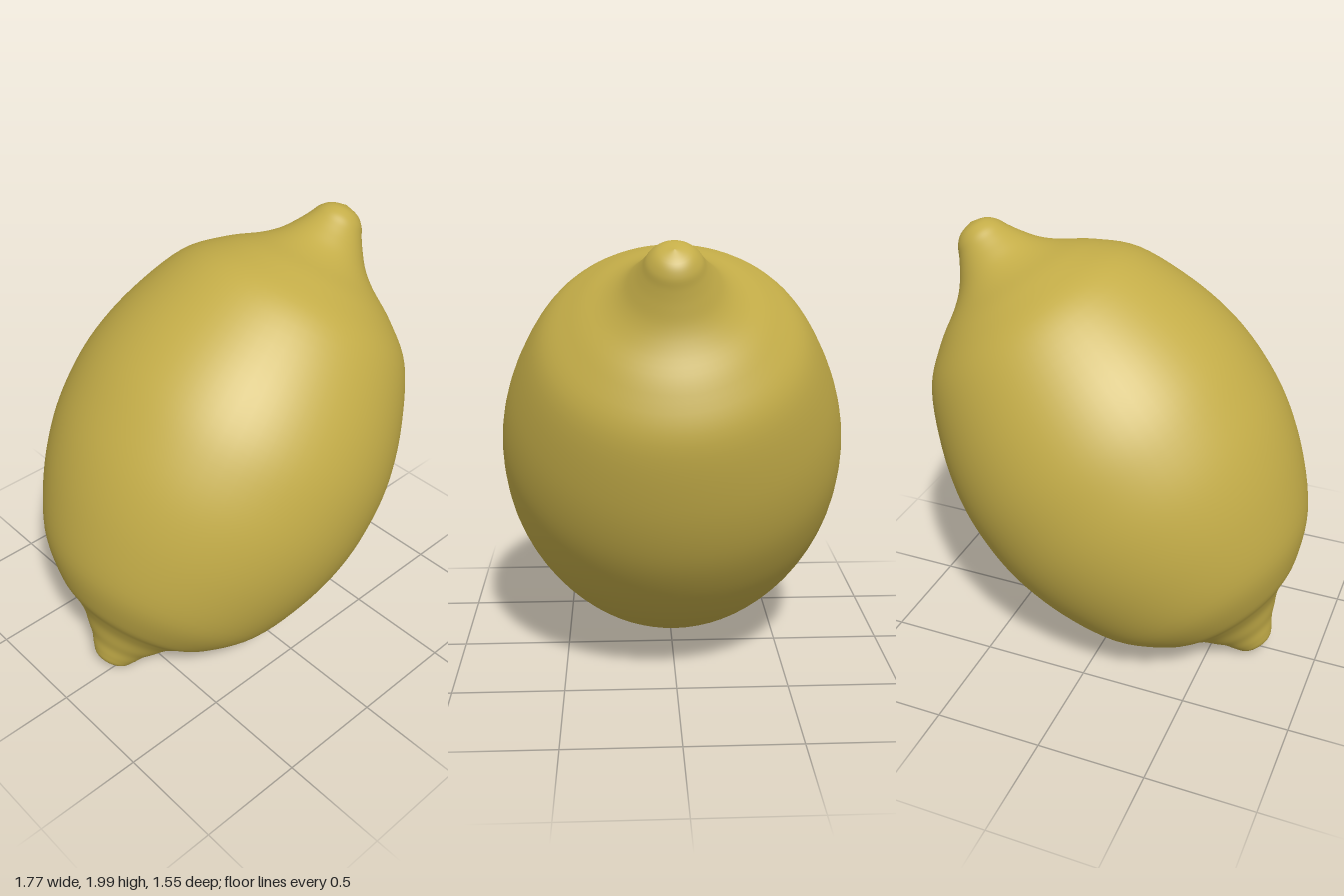
import * as THREE from 'three';

// Half-profiles as [radius, distance along the axis], from the tip inwards
const lowerEnd = [[0, -1.214], [0.075, -1.19], [0.11, -1.15], [0.143, -1.1], [0.185, -1.055], [0.24, -0.995], [0.315, -0.94], [0.425, -0.87], [0.575, -0.71], [0.69, -0.47], [0.757, -0.23]];
const upperEnd = [[0.757, 0.22], [0.688, 0.46], [0.568, 0.71], [0.42, 0.85], [0.285, 0.94], [0.215, 1.0], [0.165, 1.065], [0.13, 1.12], [0.105, 1.165], [0.065, 1.2], [0, 1.218]];

export function createModel() {
  const group = new THREE.Group();
  group.name = 'lemon';
  const peel = new THREE.MeshStandardMaterial({ name: 'lemon peel yellow', color: 0xc4ad48 });

  // Smooth turned fruit with a nub at both ends
  const outline = new THREE.SplineCurve(
    [...lowerEnd, [0.776, 0], ...upperEnd].map(([r, t]) => new THREE.Vector2(r, t))
  ).getPoints(110);
  for (const p of outline) p.x = Math.max(p.x, 0);
  outline[0].x = outline[outline.length - 1].x = 0;
  const geometry = new THREE.LatheGeometry(outline, 72);

  // Lean the fruit over onto its side
  const axis = new THREE.Vector3(0.602, 0.799, 0.018).normalize();
  geometry.applyQuaternion(new THREE.Quaternion().setFromUnitVectors(new THREE.Vector3(0, 1, 0), axis));

  // Rest it on the ground, centred
  geometry.computeBoundingBox();
  const box = geometry.boundingBox;
  const centre = box.getCenter(new THREE.Vector3());
  geometry.translate(-centre.x, -box.min.y, -centre.z);

  const fruit = new THREE.Mesh(geometry, peel);
  fruit.name = 'fruitBody';
  group.add(fruit);
  return group;
}
